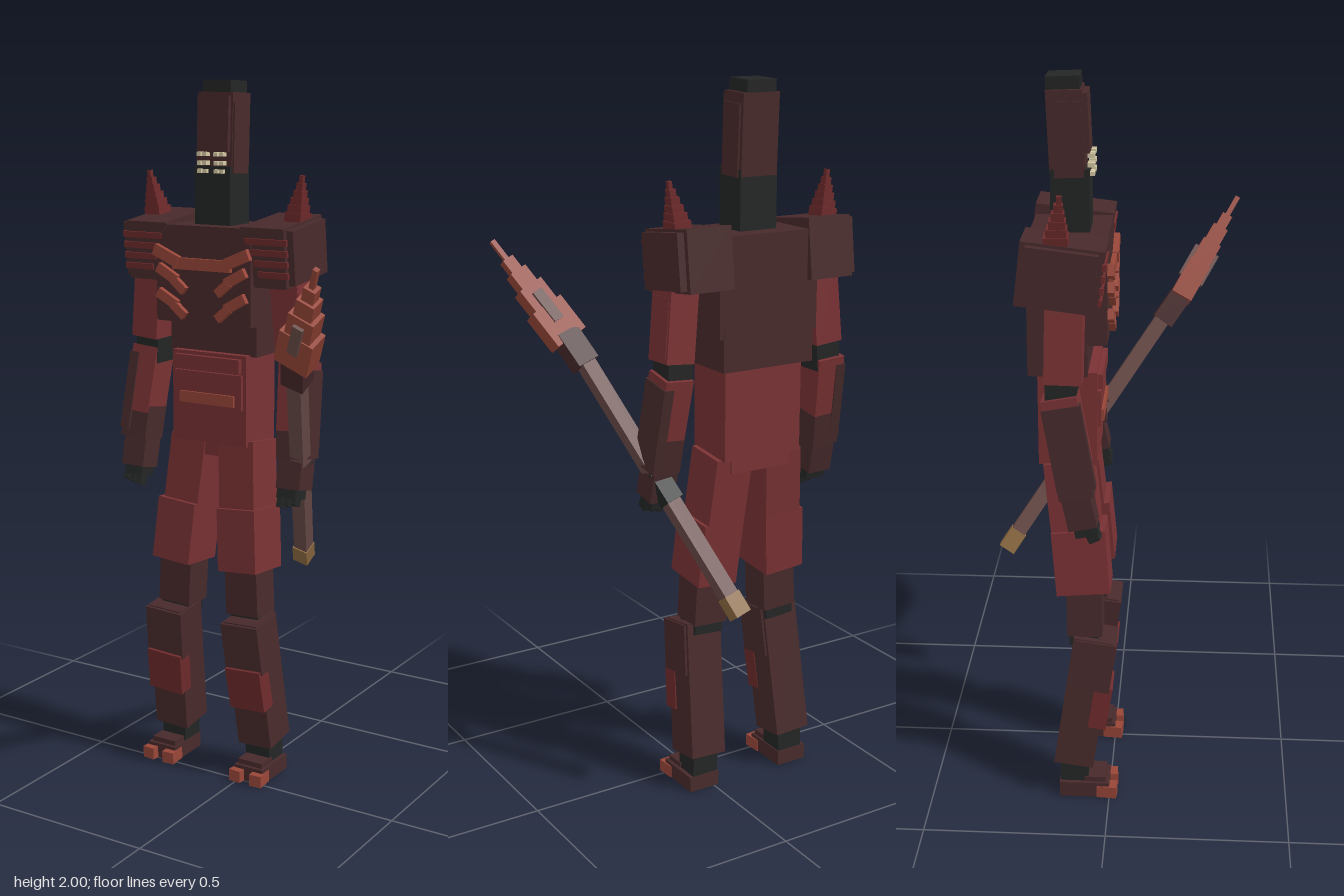
import * as THREE from 'three';

const mat = (name, color) => {
  const m = new THREE.MeshStandardMaterial({ color });
  m.name = name;
  return m;
};

export function createModel() {
  const dark = mat('dark maroon armour', 0x482a2b);
  const red = mat('red armour', 0x7a3234);
  const crimson = mat('crimson stripe', 0x6e2a2b);
  const rust = mat('rust trim', 0x984638);
  const black = mat('black joints', 0x242525);
  const bone = mat('bone teeth', 0xd6c9a4);
  const wood = mat('brown shaft', 0x6b4d49);
  const brass = mat('brass', 0x8f6c42);

  const model = new THREE.Group();
  model.name = 'armouredSpearFighter';
  const body = new THREE.Group();
  body.name = 'body';
  body.position.x = -0.12;
  model.add(body);

  // Box by size and centre
  const box = (parent, name, m, [w, h, d], [x, y, z], [rx, ry, rz] = [0, 0, 0]) => {
    const mesh = new THREE.Mesh(new THREE.BoxGeometry(w, h, d), m);
    mesh.name = name;
    mesh.position.set(x, y, z);
    mesh.rotation.set(rx, ry, rz);
    parent.add(mesh);
    return mesh;
  };
  // Box stretched from point a to point b
  const limb = (parent, name, m, a, b, w, d) => {
    const p = new THREE.Vector3(...a), q = new THREE.Vector3(...b);
    const dir = q.clone().sub(p), len = dir.length();
    if (dir.y < 0) dir.negate();
    const mesh = box(parent, name, m, [w, len, d], p.add(q).multiplyScalar(0.5).toArray());
    mesh.quaternion.setFromUnitVectors(new THREE.Vector3(0, 1, 0), dir.normalize());
    return mesh;
  };

  // Head and neck
  box(body, 'neck', black, [0.115, 0.18, 0.1], [0, 1.68, -0.105]);
  box(body, 'headCore', black, [0.09, 0.27, 0.085], [0, 1.865, -0.117], [-0.04, 0, 0]);
  box(body, 'helmet', dark, [0.112, 0.215, 0.09], [0, 1.86, -0.115], [-0.04, 0, 0]);
  box(body, 'faceGuard', dark, [0.1, 0.15, 0.015], [0, 1.885, -0.065], [-0.04, 0, 0]);
  for (const s of [-1, 1]) {
    box(body, 'cheekGuard', dark, [0.012, 0.19, 0.075], [s * 0.055, 1.845, -0.11], [-0.04, 0, 0]);
    for (const y of [1.757, 1.779, 1.803])
      for (const k of [-1, 1])
        box(body, 'tooth', bone, [0.013, 0.011, 0.018], [s * 0.027 + k * 0.009, y, -0.052]);
  }

  // Torso
  box(body, 'chest', dark, [0.31, 0.27, 0.205], [0, 1.475, -0.108]);
  box(body, 'lowerChest', dark, [0.285, 0.12, 0.155], [0, 1.31, -0.135]);
  box(body, 'abdomen', red, [0.245, 0.26, 0.155], [0, 1.125, -0.112]);
  box(body, 'upperAbdomenPlate', red, [0.215, 0.04, 0.02], [0, 1.225, -0.03]);
  box(body, 'lowerAbdomenPlate', red, [0.225, 0.1, 0.012], [0, 1.15, -0.031]);
  box(body, 'bellyBand', rust, [0.18, 0.032, 0.01], [0, 1.125, -0.023]);
  box(body, 'hips', red, [0.19, 0.06, 0.13], [0, 0.985, -0.115]);
  box(body, 'breastBand', rust, [0.19, 0.032, 0.014], [0, 1.505, 0]);

  for (const s of [-1, 1]) {
    const side = new THREE.Group();
    side.name = s > 0 ? 'leftSide' : 'rightSide';
    body.add(side);

    // Rib bands
    box(side, 'breastBandEnd', rust, [0.085, 0.032, 0.016], [s * 0.115, 1.525, 0.003], [0, 0, s * 0.4]);
    [1.46, 1.39].forEach((y) => {
      box(side, 'ribBand', rust, [0.07, 0.028, 0.016], [s * 0.112, y + 0.015, 0.003], [0, 0, s * 0.5]);
      box(side, 'ribBandTip', rust, [0.05, 0.025, 0.016], [s * 0.073, y - 0.015, 0.004], [0, 0, s * 0.7]);
    });

    // Shoulder block with front stripes
    const shoulder = new THREE.Group();
    shoulder.name = 'shoulder';
    shoulder.position.set(s * 0.19, 1.545, -0.117);
    shoulder.rotation.x = 0.12;
    side.add(shoulder);
    box(shoulder, 'shoulderBlock', dark, [0.135, 0.165, 0.21], [0, 0, 0]);
    box(shoulder, 'shoulderOuterPlate', dark, [0.035, 0.15, 0.18], [s * 0.07, 0, 0]);
    [0.045, 0.015, -0.015, -0.045].forEach((y, i) =>
      box(shoulder, 'shoulderStripe', crimson, [0.13 - i * 0.012, 0.017, 0.009],
        [s * (0.012 + i * 0.006), y, 0.106]));

    // Stepped shoulder spike
    for (let i = 0; i < 6; i++) {
      const w = 0.05 - i * 0.0078;
      box(side, 'shoulderSpike', crimson, [w, 0.026, w * 1.2],
        [s * (0.232 + i * 0.0035), 1.637 + i * 0.02, -0.125 + i * 0.002], [0, 0, -s * 0.12]);
    }

    // Arm
    limb(side, 'upperArm', red, [s * 0.222, 1.5, -0.105], [s * 0.242, 1.275, -0.11], 0.085, 0.095);
    limb(side, 'upperArmPlate', red, [s * 0.25, 1.45, -0.105], [s * 0.265, 1.29, -0.11], 0.04, 0.08);
    limb(side, 'elbow', black, [s * 0.238, 1.3, -0.115], [s * 0.243, 1.2, -0.115], 0.075, 0.08);
    limb(side, 'forearm', red, [s * 0.247, 1.24, -0.12], [s * 0.26, 1.05, -0.085], 0.085, 0.092);
    limb(side, 'forearmPlate', dark, [s * 0.28, 1.22, -0.115], [s * 0.292, 1.0, -0.075], 0.03, 0.1);
    limb(side, 'lowerForearm', dark, [s * 0.258, 1.07, -0.09], [s * 0.265, 0.975, -0.075], 0.085, 0.09);
    limb(side, 'handGuard', dark, [s * 0.262, 0.975, -0.078], [s * 0.264, 0.89, -0.06], 0.075, 0.075);
    limb(side, 'palm', black, [s * 0.258, 0.95, -0.07], [s * 0.26, 0.865, -0.05], 0.06, 0.06);
    for (let i = 0; i < 3; i++)
      limb(side, 'finger', black, [s * (0.24 + i * 0.022), 0.895, -0.05],
        [s * (0.24 + i * 0.022), 0.84 + i * 0.006, -0.03], 0.017, 0.03);

    // Leg
    limb(side, 'thigh', red, [s * 0.08, 1.0, -0.112], [s * 0.108, 0.64, -0.075], 0.115, 0.13);
    limb(side, 'lowerThighPlate', red, [s * 0.1, 0.81, -0.085], [s * 0.114, 0.63, -0.07], 0.125, 0.145);
    limb(side, 'knee', dark, [s * 0.11, 0.66, -0.07], [s * 0.118, 0.5, -0.068], 0.105, 0.095);
    limb(side, 'kneeJoint', black, [s * 0.118, 0.53, -0.07], [s * 0.122, 0.47, -0.07], 0.09, 0.08);
    limb(side, 'shin', dark, [s * 0.13, 0.495, -0.043], [s * 0.147, 0.105, -0.1], 0.11, 0.11);
    limb(side, 'shinUpperPlate', dark, [s * 0.13, 0.49, -0.035], [s * 0.137, 0.345, -0.055], 0.122, 0.11);
    limb(side, 'shinStripe', crimson, [s * 0.136, 0.35, -0.015], [s * 0.143, 0.225, -0.035], 0.115, 0.05);
    limb(side, 'ankle', black, [s * 0.146, 0.13, -0.098], [s * 0.149, 0.04, -0.098], 0.08, 0.078);
    box(side, 'foot', dark, [0.095, 0.045, 0.14], [s * 0.153, 0.025, -0.07]);
    box(side, 'instep', dark, [0.08, 0.025, 0.06], [s * 0.152, 0.05, -0.04]);
    for (const k of [-1, 1])
      box(side, 'toe', rust, [0.038, 0.035, 0.055], [s * 0.153 + k * 0.033, 0.02, -0.006], [0, k * 0.08, 0]);
  }

  // Spear held in the left hand
  const spear = new THREE.Group();
  spear.name = 'spear';
  model.add(spear);
  limb(spear, 'shaft', wood, [0.045, 0.64, -0.295], [0.265, 1.27, 0.14], 0.042, 0.042);
  limb(spear, 'buttCap', brass, [0.033, 0.605, -0.318], [0.05, 0.655, -0.284], 0.048, 0.048);
  limb(spear, 'grip', black, [0.13, 0.89, -0.125], [0.155, 0.96, -0.075], 0.052, 0.052);
  limb(spear, 'collar', dark, [0.255, 1.235, 0.12], [0.288, 1.315, 0.178], 0.065, 0.06);
  const base = new THREE.Vector3(0.275, 1.29, 0.165), tip = new THREE.Vector3(0.425, 1.56, 0.33);
  const along = (t) => base.clone().lerp(tip, t).toArray();
  [[0.03, 0.35, 0.1, 0.062], [0.25, 0.55, 0.075, 0.055], [0.45, 0.7, 0.052, 0.045],
    [0.62, 0.82, 0.034, 0.03], [0.78, 1, 0.014, 0.014]].forEach(([a, b, w, d]) =>
    limb(spear, 'spearHead', rust, along(a), along(b), w, d));
  limb(spear, 'spearHeadInlay', wood, along(0.2), along(0.48), 0.03, 0.076);

  return model;
}
